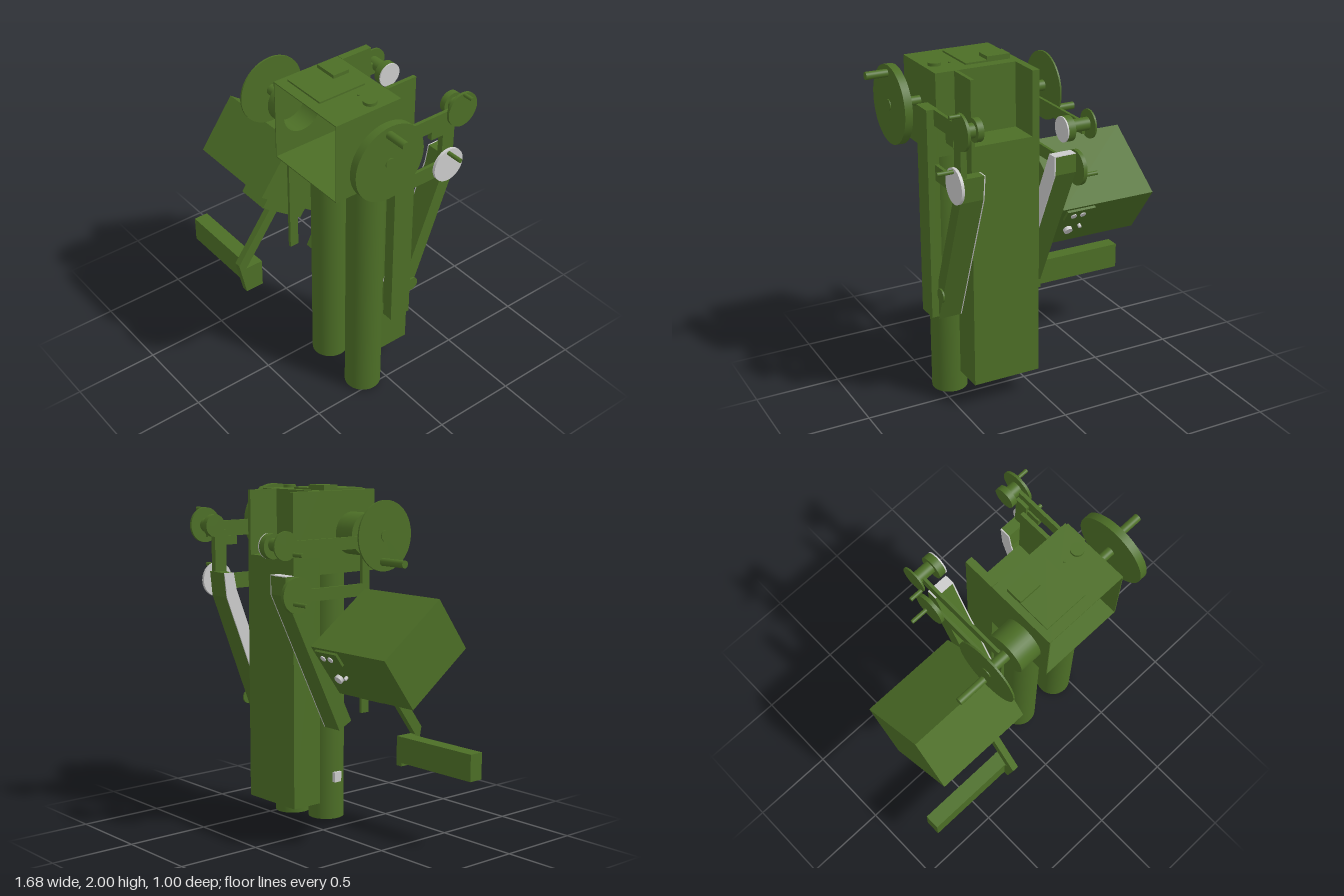
import * as THREE from 'three';

const green = new THREE.MeshStandardMaterial({ color: 0x4c6e26 });
const grey = new THREE.MeshStandardMaterial({ color: 0xcccccc });
const openGreen = new THREE.MeshStandardMaterial({ color: 0x4c6e26, side: THREE.DoubleSide });

function add(parent, name, geometry, material = green) {
  const mesh = new THREE.Mesh(geometry, material);
  mesh.name = name;
  parent.add(mesh);
  return mesh;
}

// Box given by its extents on each axis
function box(parent, name, [x0, x1], [y0, y1], [z0, z1], material) {
  const g = new THREE.BoxGeometry(x1 - x0, y1 - y0, z1 - z0);
  g.translate((x0 + x1) / 2, (y0 + y1) / 2, (z0 + z1) / 2);
  return add(parent, name, g, material);
}

// Cylinder lying along x
function rod(parent, name, [x0, x1], y, z, r, material, open = false) {
  const g = new THREE.CylinderGeometry(r, r, x1 - x0, 40, 1, open);
  g.rotateZ(Math.PI / 2).translate((x0 + x1) / 2, y, z);
  return add(parent, name, g, material);
}

// Upright cylinder
function post(parent, name, x, z, r, [y0, y1]) {
  const g = new THREE.CylinderGeometry(r, r, y1 - y0, 40);
  return add(parent, name, g.translate(x, (y0 + y1) / 2, z));
}

// Side outline of [z, y] points, extruded along x
function slab(parent, name, points, [x0, x1], material, hole) {
  const shape = new THREE.Shape(points.map(([z, y]) => new THREE.Vector2(-z, y)));
  if (hole) {
    const [z, y, r] = hole;
    shape.holes.push(new THREE.Path().absarc(-z, y, r, 0, Math.PI * 2, true));
  }
  const g = new THREE.ExtrudeGeometry(shape, { depth: x1 - x0, bevelEnabled: false, curveSegments: 24 });
  return add(parent, name, g.rotateY(Math.PI / 2).translate(x0, 0, 0), material);
}

function part(parent, name) {
  const g = new THREE.Group();
  g.name = name;
  parent.add(g);
  return g;
}

export function createModel() {
  const model = new THREE.Group();
  model.name = 'mount';

  // Head: a housing open at the front, with a bore into the left hub
  const head = part(model, 'head');
  const t = 0.006;
  box(head, 'headTop', [0.015, 0.535], [1.97 - t, 1.97], [-0.01, 0.405]);
  box(head, 'headFloor', [0.015, 0.535], [1.5, 1.5 + t], [-0.01, 0.405]);
  box(head, 'headBack', [0.015, 0.535], [1.5, 1.97], [-0.01, -0.01 + t]);
  box(head, 'headSide', [0.535 - t, 0.535], [1.5, 1.97], [-0.01, 0.405]);
  slab(head, 'boredHeadSide', [[0.405, 1.5], [-0.01, 1.5], [-0.01, 1.97], [0.405, 1.97]],
    [0.015, 0.015 + t], green, [0.23, 1.725, 0.12]);
  box(head, 'topPlate', [0.055, 0.325], [1.97, 1.98], [0.055, 0.345]);
  box(head, 'topBlock', [0.055, 0.195], [1.98, 2.0], [0.055, 0.155]);
  post(head, 'topCap', 0.47, 0.14, 0.037, [1.97, 1.987]);
  post(head, 'topPin', 0.38, 0.14, 0.008, [1.97, 1.976]);

  // Rear column, ending in two fins
  const column = part(model, 'column');
  box(column, 'columnBody', [0.015, 0.425], [0.16, 1.6], [-0.205, -0.012]);
  box(column, 'rightFin', [0.015, 0.057], [1.6, 1.97], [-0.205, -0.012]);
  box(column, 'leftFin', [0.403, 0.425], [1.6, 1.97], [-0.205, -0.012]);
  box(column, 'columnTab', [0, 0.02], [0.27, 0.33], [0.09, 0.14], grey);

  // Two front tubes with tip pins
  for (const [x, y0] of [[0.12, 0.045], [0.4325, 0.012]]) {
    post(model, 'tube', x, 0.125, 0.105, [y0, 1.5]);
    post(model, 'tubeTip', x, 0.125, 0.012, [y0 - 0.012, y0]);
  }

  // Large handwheel on the left
  const wheel = part(model, 'largeHandwheel');
  rod(wheel, 'wheelDisc', [0.67, 0.715], 1.765, 0.205, 0.22);
  rod(wheel, 'wheelHub', [0.715, 0.72], 1.765, 0.205, 0.03);
  rod(wheel, 'wheelShaft', [0.53, 0.67], 1.765, 0.205, 0.026);
  rod(wheel, 'wheelHandle', [0.715, 0.84], 1.94, 0.215, 0.022);
  box(wheel, 'shaftBracket', [0.51, 0.54], [1.67, 1.75], [-0.04, 0.06]);

  // Thin handwheel and hub on the right
  const thin = part(model, 'thinHandwheel');
  rod(thin, 'hubWall', [-0.12, 0.015], 1.725, 0.23, 0.122, openGreen, true);
  rod(thin, 'hubCap', [-0.122, -0.115], 1.725, 0.23, 0.122);
  rod(thin, 'wheelShaft', [-0.265, -0.12], 1.725, 0.235, 0.032);
  rod(thin, 'wheelDisc', [-0.26, -0.25], 1.725, 0.235, 0.2);
  rod(thin, 'wheelHandle', [-0.44, -0.255], 1.58, 0.217, 0.022);

  // Left side: upright plate, sloping arm and linkage
  const left = part(model, 'leftLinkage');
  box(left, 'uprightPlate', [0.545, 0.612], [0.57, 1.79], [-0.055, 0.075]);
  const leftArm = [[-0.36, 1.36], [-0.05, 0.55], [0.025, 0.58], [-0.29, 1.4], [-0.31, 1.5], [-0.375, 1.5]];
  slab(left, 'slopingArm', leftArm, [0.435, 0.57]);
  slab(left, 'armInnerFace', leftArm, [0.428, 0.435], grey);
  rod(left, 'armPivot', [0.57, 0.58], 0.72, -0.1, 0.04);
  box(left, 'upperBar', [0.55, 0.57], [1.7, 1.79], [-0.4, -0.04]);
  box(left, 'lowerBar', [0.55, 0.57], [1.39, 1.48], [-0.32, -0.04]);
  box(left, 'barLink', [0.53, 0.565], [1.42, 1.74], [-0.365, -0.285]);
  box(left, 'barBlock', [0.54, 0.57], [1.65, 1.7], [-0.29, -0.2]);
  rod(left, 'upperDisc', [0.57, 0.585], 1.77, -0.4, 0.1);
  rod(left, 'upperShaft', [0.51, 0.57], 1.77, -0.4, 0.04);
  rod(left, 'upperInnerDisc', [0.475, 0.51], 1.77, -0.4, 0.064);
  rod(left, 'upperHandle', [0.585, 0.645], 1.86, -0.405, 0.011);
  rod(left, 'lowerDisc', [0.57, 0.587], 1.45, -0.32, 0.1, grey);
  rod(left, 'lowerHandle', [0.587, 0.68], 1.53, -0.315, 0.012);

  // Right side: upright plate, sloping arm and linkage
  const right = part(model, 'rightLinkage');
  box(right, 'uprightPlate', [-0.142, -0.122], [0.7, 1.7], [0.17, 0.225]);
  const rightArm = [[-0.37, 1.42], [0.02, 0.615], [0.11, 0.66], [-0.27, 1.44], [-0.31, 1.525], [-0.37, 1.525]];
  slab(right, 'slopingArm', rightArm, [-0.12, 0.005]);
  slab(right, 'armInnerFace', rightArm, [0.005, 0.013], grey);
  box(right, 'armTop', [-0.12, 0.013], [1.523, 1.528], [-0.37, -0.31], grey);
  box(right, 'upperBar', [-0.142, -0.125], [1.65, 1.72], [-0.42, 0.225]);
  box(right, 'lowerBar', [-0.142, -0.125], [1.38, 1.45], [-0.32, 0.225]);
  rod(right, 'upperDisc', [-0.175, -0.165], 1.7, -0.41, 0.08);
  rod(right, 'upperShaft', [-0.165, -0.06], 1.7, -0.405, 0.036);
  rod(right, 'upperInnerDisc', [-0.06, -0.018], 1.69, -0.4, 0.07);
  rod(right, 'innerDiscFace', [-0.018, -0.01], 1.69, -0.4, 0.07, grey);
  rod(right, 'upperHandle', [-0.25, -0.17], 1.65, -0.355, 0.012);
  rod(right, 'lowerDisc', [-0.165, -0.142], 1.425, -0.32, 0.1);
  rod(right, 'lowerHandle', [-0.27, -0.165], 1.38, -0.345, 0.012);

  // Tilted side case with underside block and rear panel
  const side = part(model, 'tiltedCase');
  side.position.set(0, 1.13, 0.097);
  side.rotation.x = -0.63;
  box(side, 'case', [-0.735, -0.14], [-0.18, 0.18], [-0.247, 0.247]);
  box(side, 'caseBlock', [-0.405, -0.2], [-0.26, -0.18], [-0.19, 0.133]);
  box(side, 'rearPanel', [-0.35, -0.17], [0.08, 0.165], [-0.262, -0.247]);
  for (const [x, y, r] of [[-0.22, 0.12, 0.018], [-0.28, 0.12, 0.018], [-0.24, -0.04, 0.026], [-0.31, -0.02, 0.01]]) {
    const knob = new THREE.CylinderGeometry(r, r, 0.025, 20).rotateX(Math.PI / 2);
    add(side, 'rearKnob', knob.translate(x, y, -0.256), grey);
  }

  // Pedal hanging from the case
  const pedal = part(model, 'pedal');
  slab(pedal, 'pedalArm', [[0.26, 0.925], [0.5, 0.6], [0.455, 0.385], [0.34, 0.385], [0.34, 0.56],
    [0.45, 0.56], [0.21, 0.89]], [-0.3, -0.26]);
  box(pedal, 'pedalBar', [-0.845, -0.295], [0.405, 0.56], [0.341, 0.43]);

  return model;
}
